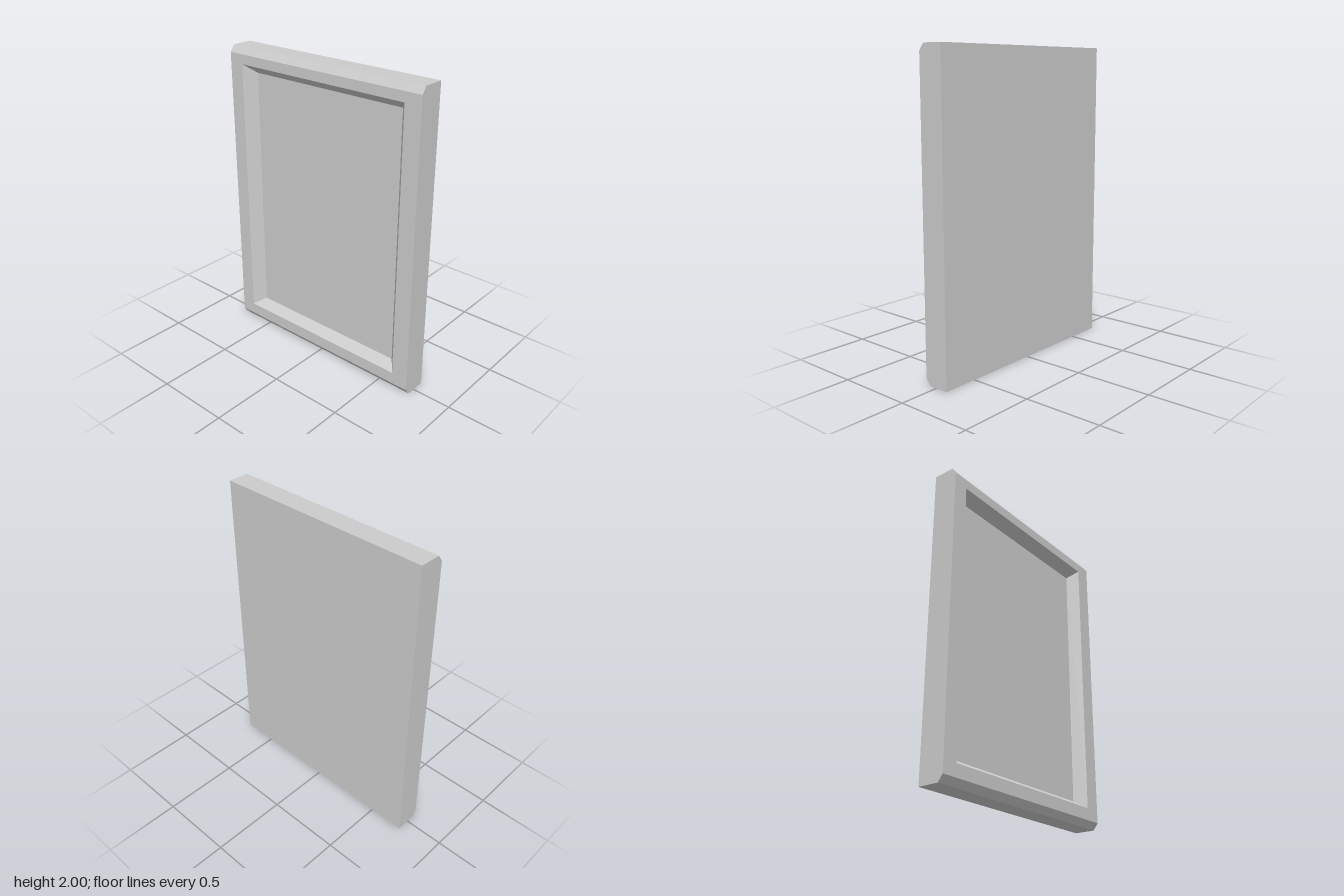
import * as THREE from 'three';

// Rectangular cross-section, counter-clockwise seen from the front
const rect = (x0, x1, y0, y1, z) => [[x0, y0, z], [x1, y0, z], [x1, y1, z], [x0, y1, z]];

// Flat-shaded skin through successive rectangles, plus optional end faces
function skin(name, loops, { backCap = false, frontCap = false }) {
  const pos = [];
  const quad = (a, b, c, d) => pos.push(...a, ...b, ...c, ...a, ...c, ...d);
  for (let k = 0; k + 1 < loops.length; k++) {
    for (let i = 0; i < 4; i++) {
      const j = (i + 1) % 4;
      quad(loops[k][i], loops[k][j], loops[k + 1][j], loops[k + 1][i]);
    }
  }
  if (backCap) quad(...[...loops[0]].reverse());
  if (frontCap) quad(...loops[loops.length - 1]);
  const geometry = new THREE.BufferGeometry();
  geometry.setAttribute('position', new THREE.Float32BufferAttribute(pos, 3));
  geometry.computeVertexNormals();
  const material = new THREE.MeshStandardMaterial({ color: 0xcccccc, flatShading: true });
  const mesh = new THREE.Mesh(geometry, material);
  mesh.name = name;
  return mesh;
}

export function createModel() {
  const group = new THREE.Group();
  group.name = 'framedPanel';

  const W = 0.735, D = 0.085, bevel = 0.043;
  const rim = rect(-0.634, 0.623, 0.122, 1.894, D);
  const floor = rect(-0.568, 0.565, 0.164, 1.837, 0.014);

  // Slab: back, sides, bevelled top and bottom front edges, flat front border
  group.add(skin('frame', [
    rect(-W, W, 0, 2, -D),
    rect(-W, W, 0, 2, 0.053),
    rect(-W, W, bevel, 2 - bevel, D),
    rim,
  ], { backCap: true }));

  // Sloping walls and floor of the recess
  group.add(skin('recessWalls', [rim, floor], {}));
  group.add(skin('recessedPanel', [floor], { frontCap: true }));

  return group;
}
